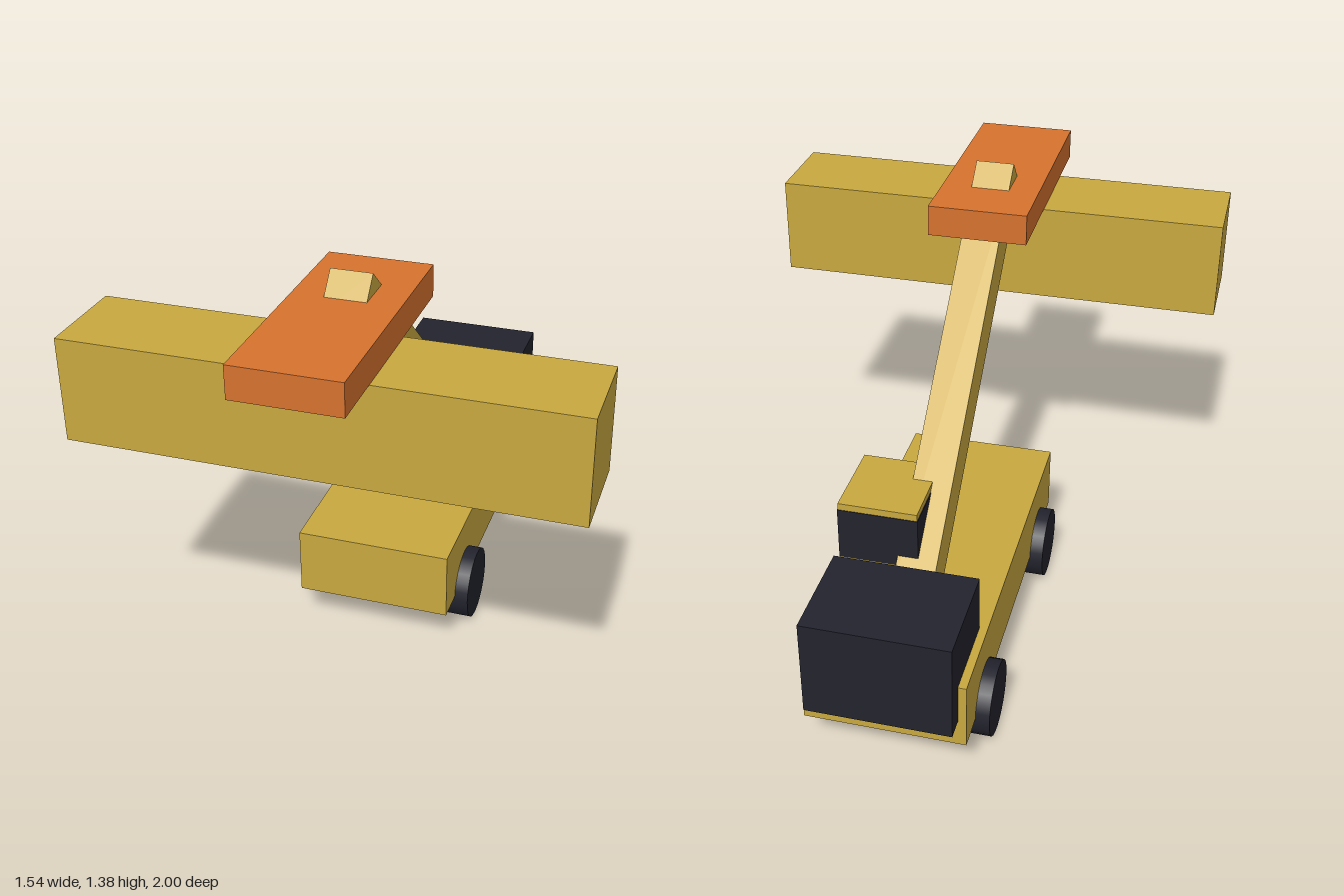
import * as THREE from 'three';

const paint = (name, color) => {
  const m = new THREE.MeshStandardMaterial({ color });
  m.name = name;
  return m;
};

export function createModel() {
  const yellow = paint('machine yellow', 0xc9a83f);
  const dark = paint('dark charcoal', 0x22232d);
  const orange = paint('safety orange', 0xd6722e);

  const model = new THREE.Group();
  model.name = 'boomLift';

  const add = (name, geometry, material) => {
    const mesh = new THREE.Mesh(geometry, material);
    mesh.name = name;
    model.add(mesh);
    return mesh;
  };
  // Box given by its lower and upper limits on each axis
  const block = (name, material, [x0, x1], [y0, y1], [z0, z1]) => {
    const mesh = add(name, new THREE.BoxGeometry(x1 - x0, y1 - y0, z1 - z0), material);
    mesh.position.set((x0 + x1) / 2, (y0 + y1) / 2, (z0 + z1) / 2);
    return mesh;
  };

  // Chassis and rear counterweight
  block('chassis', yellow, [-0.253, 0.253], [0.13, 0.353], [-0.935, 0.328]);
  block('counterweight', dark, [-0.227, 0.227], [0.22, 0.545], [-1, -0.67]);

  // Offset operator cab with a wraparound window band
  const cabZ = [-0.543, -0.266];
  block('cabBase', yellow, [0, 0.253], [0.353, 0.443], cabZ);
  block('cabWindows', dark, [-0.002, 0.255], [0.443, 0.622], [cabZ[0] - 0.002, cabZ[1] + 0.002]);
  block('cabRoof', yellow, [0, 0.253], [0.622, 0.645], cabZ);

  // Four wheels
  const wheelGeometry = new THREE.CylinderGeometry(0.119, 0.119, 0.112, 24).rotateZ(Math.PI / 2);
  for (const [end, z] of [['front', 0.104], ['rear', -0.706]]) {
    for (const [side, s] of [['Left', 1], ['Right', -1]]) {
      add(`${end}${side}Wheel`, wheelGeometry, dark).position.set(s * 0.241, 0.119, z);
    }
  }

  // Straight boom rising toward the front
  const boom = add('boom', new THREE.BoxGeometry(0.128, 0.133, 1.515), yellow);
  boom.position.set(0, 0.831, -0.049);
  boom.rotation.x = -Math.atan2(1.003, 1.135);

  // Boom head plate and the wide cross beam beneath it
  block('headPlate', orange, [-0.164, 0.164], [1.215, 1.317], [0.215, 1]);
  block('crossBeam', yellow, [-0.77, 0.77], [0.887, 1.215], [0.507, 0.812]);

  return model;
}
